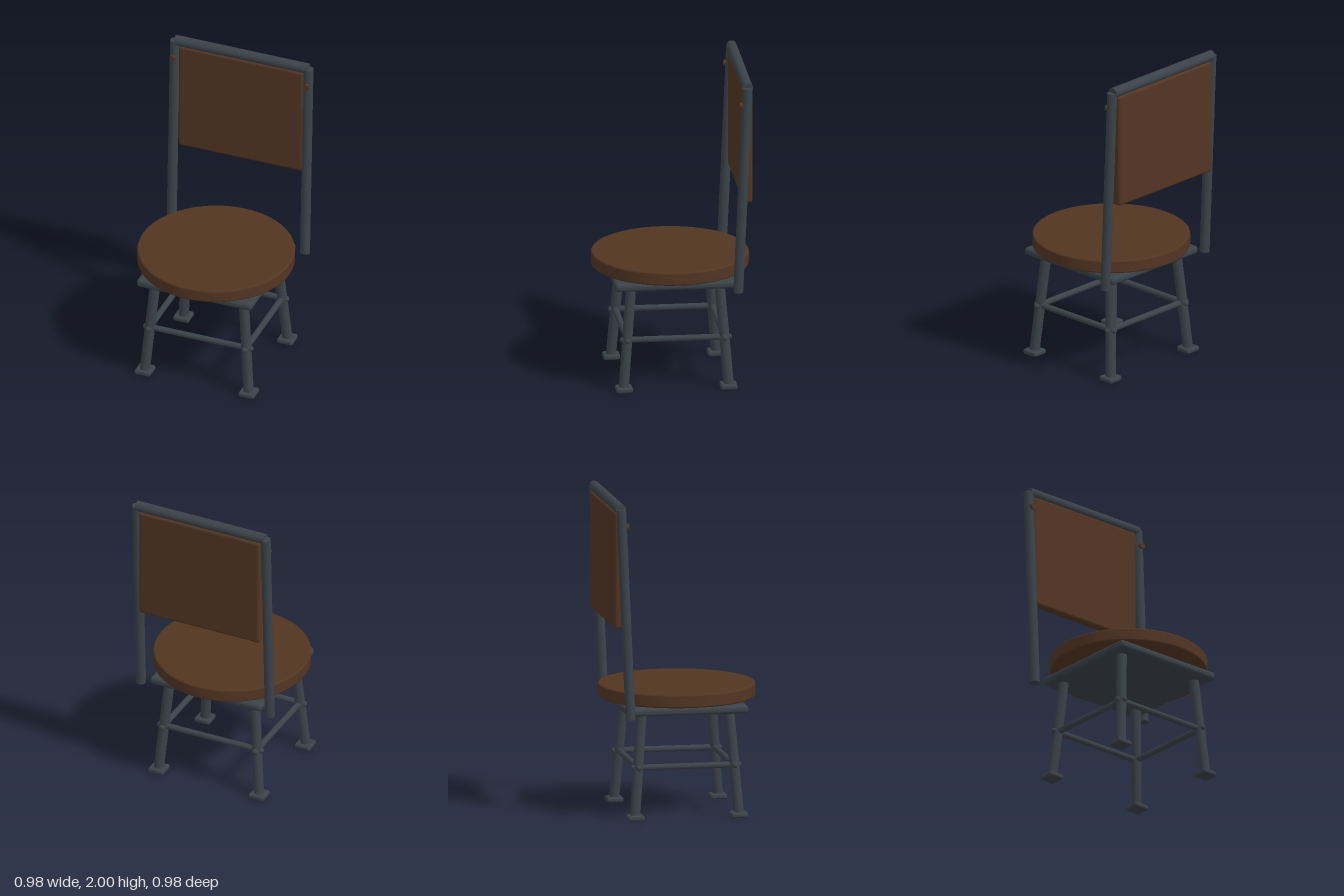
import * as THREE from 'three';
import { RoundedBoxGeometry } from 'three/addons/geometries/RoundedBoxGeometry.js';

const UP = new THREE.Vector3(0, 1, 0);

export function createModel() {
  const chair = new THREE.Group();
  chair.name = 'chair';
  const metal = new THREE.MeshStandardMaterial({ color: 0x3a4249 });
  metal.name = 'dark metal';
  const wood = new THREE.MeshStandardMaterial({ color: 0x523522 });
  wood.name = 'brown wood';

  const add = (name, geometry, material, x = 0, y = 0, z = 0) => {
    const mesh = new THREE.Mesh(geometry, material);
    mesh.name = name;
    mesh.position.set(x, y, z);
    chair.add(mesh);
    return mesh;
  };

  // Round rod between two points, with flat or domed ends
  const rod = (name, a, b, radius, material = metal, domed = false) => {
    const from = new THREE.Vector3(...a);
    const to = new THREE.Vector3(...b);
    const length = from.distanceTo(to);
    const geometry = domed
      ? new THREE.CapsuleGeometry(radius, length, 5, 16)
      : new THREE.CylinderGeometry(radius, radius, length, 20);
    const mesh = add(name, geometry, material);
    mesh.position.copy(from).add(to).multiplyScalar(0.5);
    mesh.quaternion.setFromUnitVectors(UP, to.sub(from).normalize());
    return mesh;
  };

  // Round seat with softened rims
  const R = 0.488, bottom = 0.715, top = 0.8, r = 0.012;
  const profile = [new THREE.Vector2(0, bottom), new THREE.Vector2(R - r - 0.004, bottom)];
  for (const [cy, start] of [[bottom + r, -Math.PI / 2], [top - r, 0]]) {
    for (let i = 0; i <= 4; i++) {
      const t = start + (i / 4) * Math.PI / 2;
      profile.push(new THREE.Vector2(R - r + r * Math.cos(t), cy + r * Math.sin(t)));
    }
  }
  profile.push(new THREE.Vector2(R - r - 0.004, top), new THREE.Vector2(0, top));
  add('seat', new THREE.LatheGeometry(profile, 72), wood);

  // Square plate under the seat
  add('seatPlate', new RoundedBoxGeometry(0.766, 0.052, 0.766, 4, 0.022), metal, 0, 0.677, 0);

  // Splayed legs with square feet
  for (const sx of [-1, 1]) {
    for (const sz of [-1, 1]) {
      rod('leg', [sx * 0.345, 0.015, sz * 0.327], [sx * 0.288, 0.714, sz * 0.271], 0.032);
      add('foot', new RoundedBoxGeometry(0.105, 0.033, 0.105, 3, 0.013), metal,
        sx * 0.345, 0.0165, sz * 0.325);
    }
  }

  // Stretchers joining the legs
  for (const s of [-1, 1]) {
    rod('sideStretcher', [s * 0.32, 0.325, -0.33], [s * 0.32, 0.325, 0.33], 0.019, metal, true);
    rod('crossStretcher', [-0.347, 0.325, s * 0.302], [0.347, 0.325, s * 0.302], 0.019, metal, true);
  }

  // Leaning back posts with a screw head on each
  for (const s of [-1, 1]) {
    rod('backPost', [s * 0.443, 0.648, -0.374], [s * 0.443, 1.967, -0.433], 0.031);
    rod('screw', [s * 0.443, 1.857, -0.42], [s * 0.443, 1.857, -0.384], 0.019, wood);
  }

  // Top rail and back panel
  rod('topRail', [-0.441, 1.967, -0.434], [0.441, 1.967, -0.434], 0.033);
  add('backPanel', new RoundedBoxGeometry(0.828, 0.73, 0.06, 4, 0.018), wood, 0, 1.577, -0.437);

  return chair;
}
